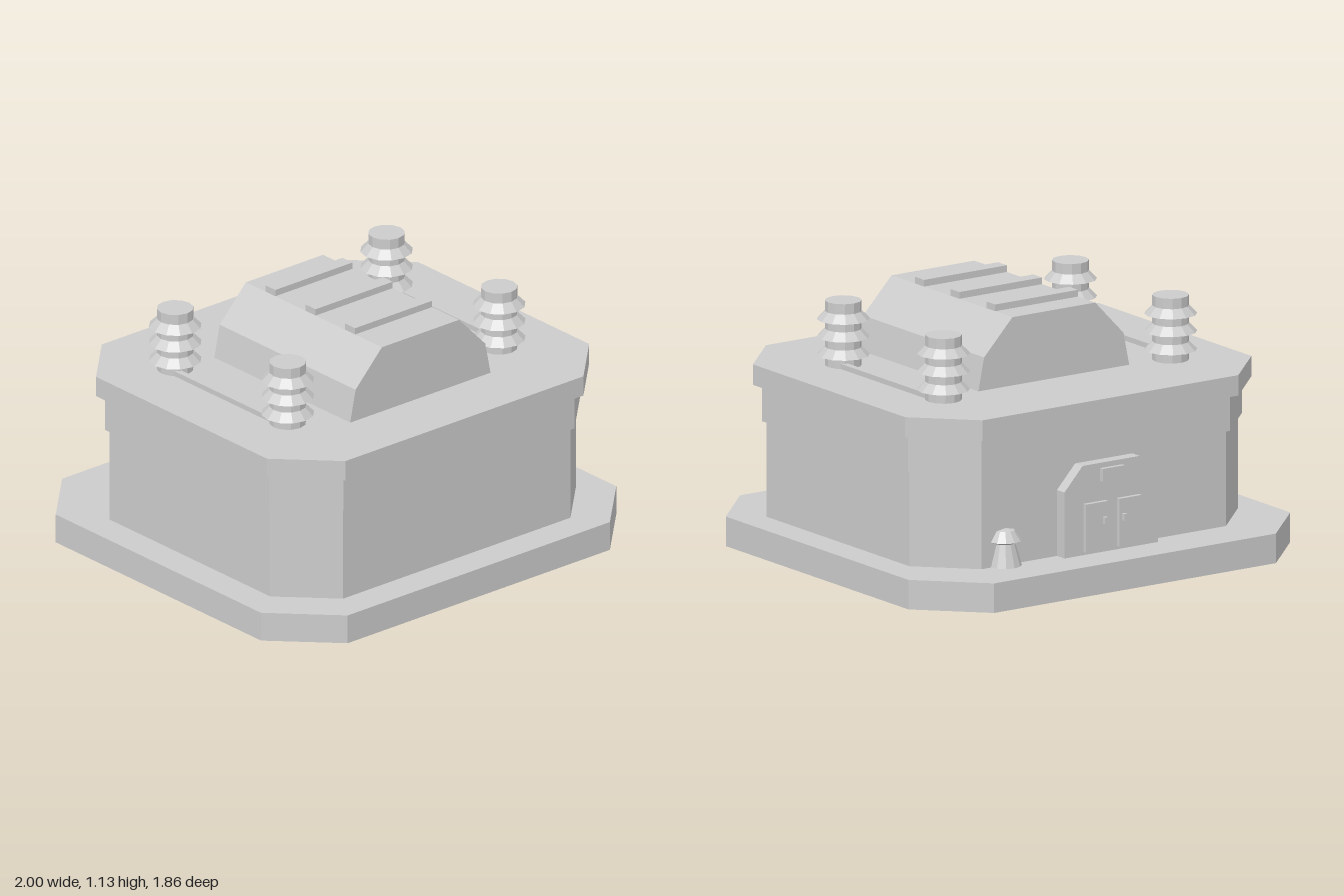
import * as THREE from 'three';

const concrete = new THREE.MeshStandardMaterial({ color: 0xcccccc, flatShading: true });
concrete.name = 'grey';

function add(parent, name, geometry, x = 0, y = 0, z = 0) {
  const mesh = new THREE.Mesh(geometry, concrete);
  mesh.name = name;
  mesh.position.set(x, y, z);
  parent.add(mesh);
  return mesh;
}

function toVectors(points) {
  return points.map(([x, y]) => new THREE.Vector2(x, y));
}

function extrude(points, depth, hole) {
  const shape = new THREE.Shape(toVectors(points));
  if (hole) shape.holes.push(new THREE.Path(toVectors(hole)));
  return new THREE.ExtrudeGeometry(shape, { depth, bevelEnabled: false });
}

// Rectangle with chamfered corners
function octagon(hx, hz, cut) {
  return [
    [hx, -hz + cut], [hx, hz - cut], [hx - cut, hz], [-hx + cut, hz],
    [-hx, hz - cut], [-hx, -hz + cut], [-hx + cut, -hz], [hx - cut, -hz],
  ];
}

// Chamfered outline raised from y0 to y1, optionally hollow
function slab(parent, name, outline, y0, y1, z, hole) {
  add(parent, name, extrude(outline, y1 - y0, hole).rotateX(-Math.PI / 2), 0, y0, z);
}

function lathe(points, sides) {
  return new THREE.LatheGeometry(toVectors(points), sides);
}

export function createModel() {
  const model = new THREE.Group();
  model.name = 'bunker';

  // Foundation, hollow and open below
  const footprint = octagon(1, 0.932, 0.262);
  slab(model, 'foundationRim', footprint, 0, 0.127, 0, octagon(0.997, 0.929, 0.261));
  slab(model, 'foundationTop', footprint, 0.127, 0.13, 0);

  // Stacked body
  slab(model, 'lowerWall', octagon(0.86, 0.745, 0.22), 0.13, 0.55, 0.043);
  slab(model, 'upperWall', octagon(0.875, 0.76, 0.225), 0.55, 0.71, 0.043);
  slab(model, 'roofSlab', octagon(0.907, 0.795, 0.237), 0.71, 0.8, 0.043);

  // Roof housing with three ribs
  add(model, 'roofHousing', extrude([
    [-0.395, 0.8], [0.395, 0.8], [0.365, 0.945], [0.217, 1.1], [-0.217, 1.1], [-0.365, 0.945],
  ], 0.887), 0, 0, -0.336);
  for (const z of [0.344, 0.086, -0.177]) {
    add(model, 'roofRib', new THREE.BoxGeometry(0.434, 0.035, 0.065), 0, 1.112, z);
  }

  // Insulators with conical skirts, joined in pairs by a low bar
  const profile = [[0, 0.8], [0.079, 0.8]];
  for (const y of [0.845, 0.925, 1.003]) {
    profile.push([0.079, y - 0.004], [0.114, y], [0.079, y + 0.036]);
  }
  profile.push([0.079, 1.085], [0, 1.085]);
  const insulator = lathe(profile, 12);
  for (const side of [-1, 1]) {
    for (const z of [0.375, -0.36]) add(model, 'insulator', insulator, side * 0.595, 0, z);
    add(model, 'connectingBar', new THREE.BoxGeometry(0.028, 0.024, 0.64), side * 0.635, 0.811, 0.01);
  }

  // Rear entrance
  const entrance = new THREE.Group();
  entrance.name = 'rearEntrance';
  model.add(entrance);
  add(entrance, 'doorSurround', extrude([
    [-0.245, 0.13], [0.245, 0.13], [0.245, 0.42], [0.15, 0.523], [-0.15, 0.523], [-0.245, 0.42],
  ], 0.075), 0, 0, -0.757);
  add(entrance, 'doorSign', new THREE.BoxGeometry(0.115, 0.056, 0.025), 0, 0.472, -0.764);
  for (const side of [-1, 1]) {
    add(entrance, 'door', new THREE.BoxGeometry(0.115, 0.212, 0.025), side * 0.088, 0.25, -0.764);
    add(entrance, 'doorHandle', new THREE.BoxGeometry(0.016, 0.03, 0.02), side * 0.05, 0.275, -0.784);
  }

  // Small capped vent beside the entrance
  add(model, 'ventPipe', lathe([
    [0, 0.13], [0.075, 0.13], [0.046, 0.228], [0.076, 0.24], [0.045, 0.285], [0, 0.293],
  ], 12), 0.517, 0, -0.697);

  return model;
}
